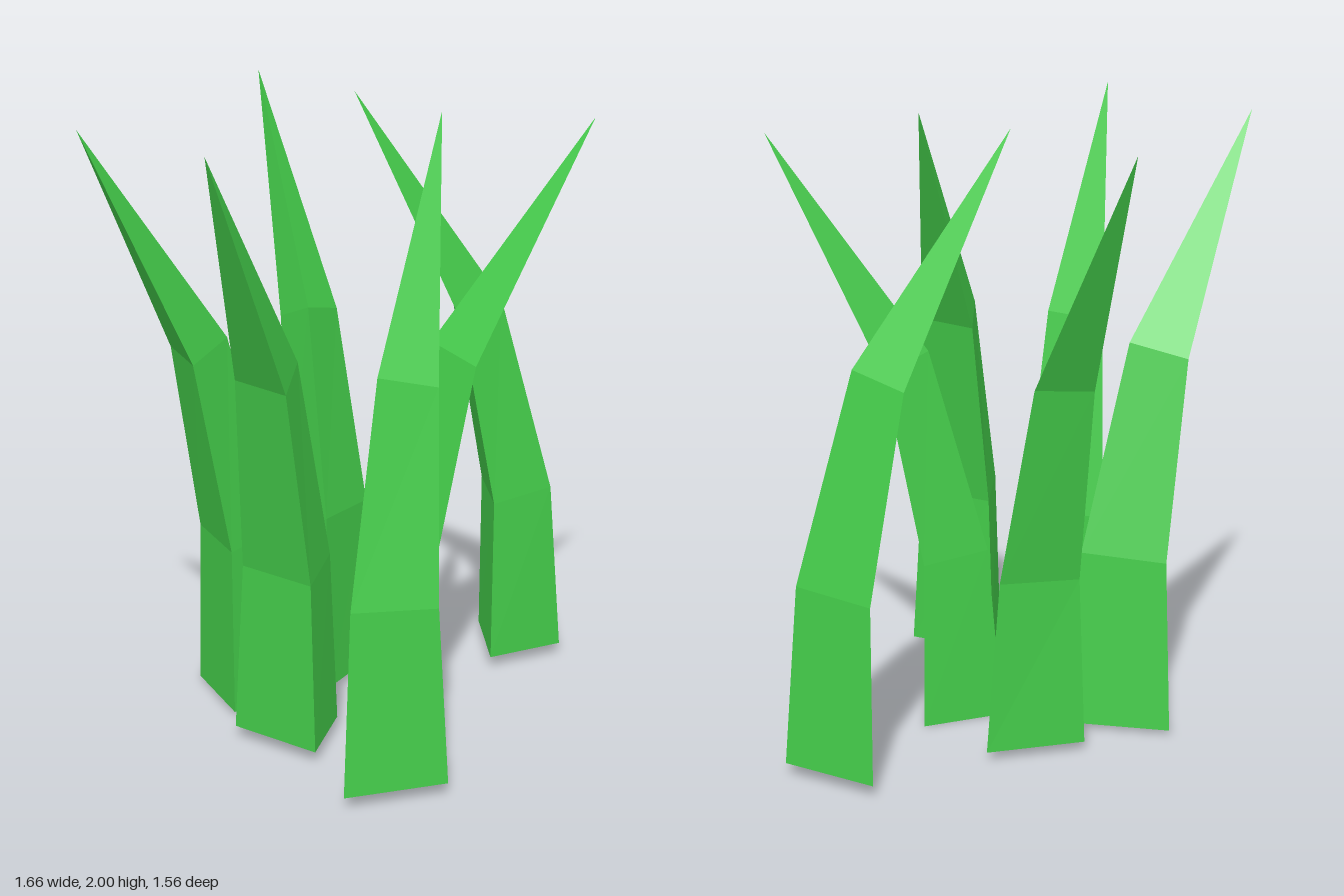
import * as THREE from 'three';

// Triangular cross-sections [x, y, z] from the root upwards, bending and narrowing to a tip
const sections = [
  [[0, 0, 0], [0.333, 0, 0], [0.209, 0, 0.247]],
  [[0.024, 0.56, 0.035], [0.302, 0.578, 0.035], [0.2, 0.55, 0.23]],
  [[-0.016, 1.205, 0.17], [0.175, 1.25, 0.172], [0.111, 1.19, 0.313]],
];
const tip = [-0.155, 1.957, 0.547];

// Position of each blade's first root corner [x, y, z] and its turn about y
const placements = [
  [0.198, 0.03, -0.307, 2.285],
  [-0.429, 0.015, -0.271, 0.502],
  [-0.389, 0.04, 0.204, 0],
  [0.171, 0.04, 0.747, 3.045],
  [0.222, 0, 0.335, 4.142],
  [0.607, 0.04, -0.476, 0.847],
];

function bladeGeometry() {
  const points = [];
  const tri = (...corners) => corners.forEach((c) => points.push(...c));

  tri(...sections[0]); // closed underside
  for (let i = 0; i < 3; i++) {
    const j = (i + 1) % 3;
    for (let s = 0; s < sections.length - 1; s++) {
      const low = sections[s], high = sections[s + 1];
      tri(low[i], high[i], low[j]);
      tri(low[j], high[i], high[j]);
    }
    const last = sections[sections.length - 1];
    tri(last[i], tip, last[j]);
  }

  const geometry = new THREE.BufferGeometry();
  geometry.setAttribute('position', new THREE.Float32BufferAttribute(points, 3));
  geometry.computeVertexNormals();
  return geometry;
}

export function createModel() {
  const group = new THREE.Group();
  group.name = 'grassTuft';
  const geometry = bladeGeometry();
  const material = new THREE.MeshStandardMaterial({ color: 0x44cc4a, flatShading: true });

  placements.forEach(([x, y, z, turn], i) => {
    const blade = new THREE.Mesh(geometry, material);
    blade.name = `grassBlade${i + 1}`;
    blade.position.set(x, y, z);
    blade.rotation.y = -turn;
    group.add(blade);
  });
  return group;
}
